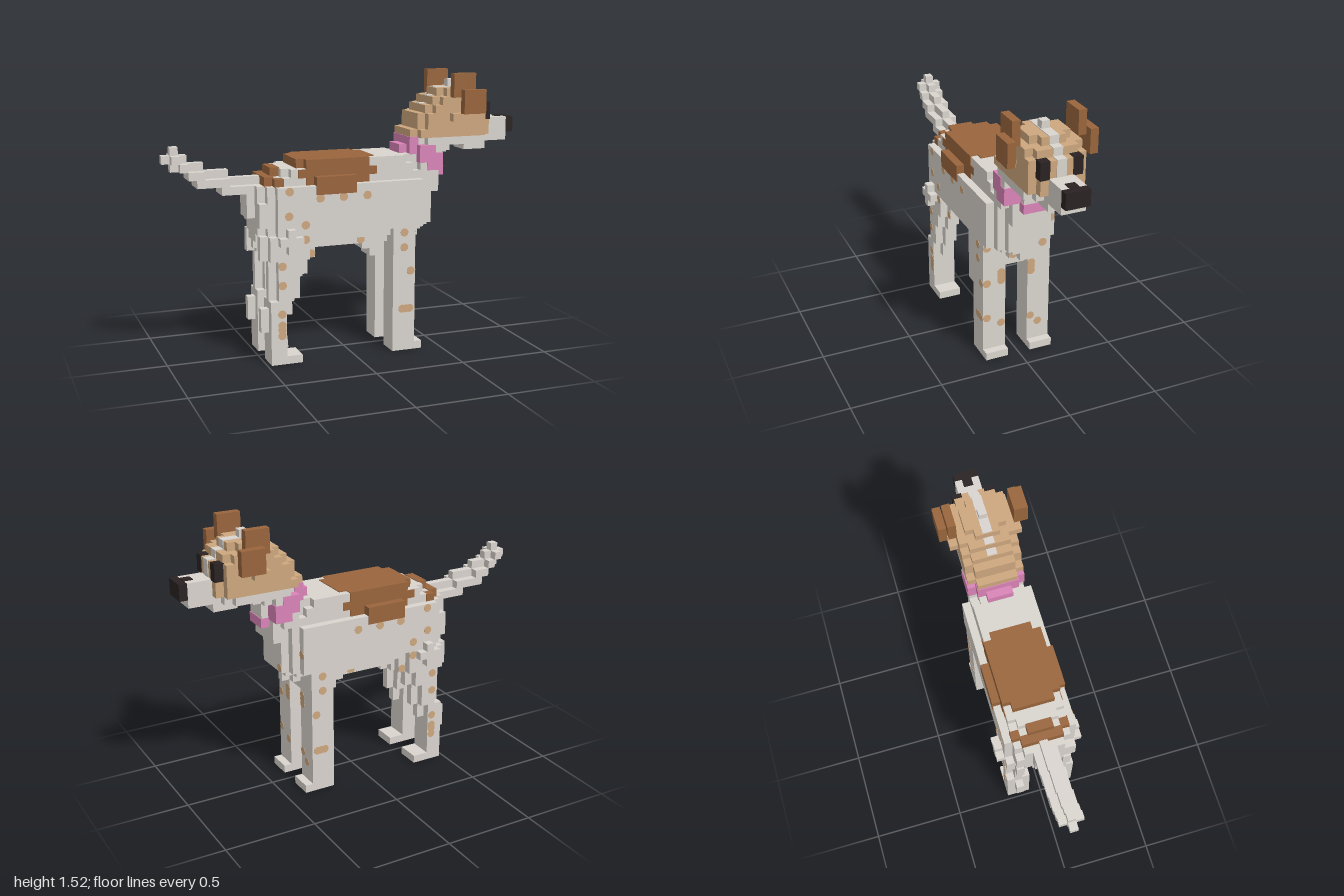
import * as THREE from 'three';
import { mergeGeometries } from 'three/addons/utils/BufferGeometryUtils.js';

const U = 2 / 46; // one block

function paint(name, color) {
  const m = new THREE.MeshStandardMaterial({ color });
  m.name = name;
  return m;
}

// Block-aligned box: x and z in block units (x from the tail tip, z from the middle)
function block(x0, x1, y0, y1, z0, z1, grow = 0) {
  const g = new THREE.BoxGeometry((x1 - x0) * U + 2 * grow, (y1 - y0) * U + 2 * grow, (z1 - z0) * U + 2 * grow);
  return g.translate(((x0 + x1) / 2 - 23) * U, ((y0 + y1) / 2) * U, ((z0 + z1) / 2) * U);
}

// Symmetric slab of half width h
const slab = (x0, x1, y0, y1, h, grow) => block(x0, x1, y0, y1, -h, h, grow);

// Layer whose two ends step inwards
const layer = ([x0, x1, y0, y1, h]) => [
  slab(x0, x1, y0, y1, h - 2),
  slab(x0 + 1, x1 - 1, y0, y1, h - 1),
  slab(x0 + 2, x1 - 2, y0, y1, h),
];

// The same box on both sides
const pair = (x0, x1, y0, y1, z0, z1, grow) =>
  [block(x0, x1, y0, y1, z0, z1, grow), block(x0, x1, y0, y1, -z1, -z0, grow)];

export function createModel() {
  const model = new THREE.Group();
  const coat = paint('paleGreyCoat', 0xd9d4ce);
  const tan = paint('tan', 0xcda77e);
  const brown = paint('brown', 0x99653c);
  const pink = paint('pinkCollar', 0xda84b8);
  const black = paint('black', 0x2a2222);

  const add = (name, material, parts) => {
    const mesh = new THREE.Mesh(mergeGeometries(parts), material);
    mesh.name = name;
    model.add(mesh);
  };

  // Torso, stacked in layers
  add('body', coat, [
    ...[
      [11, 33, 14, 15, 2.5], [11, 33, 15, 16, 3.5], [11, 34, 16, 18, 4.5],
      [11, 34, 18, 22, 4.5], [12, 34, 22, 23, 3.5], [13, 33, 23, 24, 3.5], [16, 32, 24, 25, 3.5],
    ].flatMap(layer),
    slab(10, 11, 18, 21, 1.5),
    slab(11, 13, 17, 20, 3.5),
    slab(33, 35, 20, 22, 2.5),
    slab(25, 31, 13, 14, 1.5),
    slab(26, 30, 12, 13, 1.5),
  ]);

  // Hip bumps
  add('hips', coat, [...pair(13, 16, 15, 16, 4.5, 5.5), ...pair(14, 15, 14, 17, 4.5, 5.5)]);

  add('frontLegs', coat, [...pair(28, 31, 0, 16, 1.5, 4.5), ...pair(31, 32, 0, 1, 1.5, 4.5)]);

  // Hind legs: full depth in the middle, trimmed at the back on both sides
  const hind = [
    [12, 16, 0, 1], [12, 14, 1, 4], [11, 14, 4, 6], [11, 15, 6, 7], [12, 15, 7, 8],
    [12, 16, 8, 11], [12, 17, 11, 13], [11, 18, 13, 16],
  ];
  add('hindLegs', coat, hind.flatMap(([x0, x1, y0, y1]) => {
    const trim = y0 === 0 ? 0 : 1;
    return [
      ...pair(x0, x1, y0, y1, 2.5, 3.5),
      ...pair(x0 + (x0 === 11 || y0 > 7 ? trim : 0), x1 - (y0 > 5 ? trim : 0), y0, y1, 1.5, 4.5),
    ];
  }));

  // Tail: column heights from tip to root
  const tail = [[25, 26], [24, 27], [24, 26], [23, 25], [22, 25], [22, 24], [22, 24], [21, 24],
    [21, 23], [21, 23], [21, 23], [21, 23]];
  add('tail', coat, tail.flatMap(([lo, hi], i) => {
    const column = [slab(i, i + 1, lo, hi, 0.5)];
    if (i > 0) column.push(slab(i, i + 1, i === 1 ? 25 : lo, i === 1 ? 26 : hi - 1, 1.5));
    return column;
  }));

  add('neck', coat, [[30, 36, 22, 25, 3.5], [31, 37, 25, 26, 3.5], [31, 42, 26, 27, 3.5]].flatMap(layer));

  add('collar', pink, [
    [30, 31, 25, 26, 1.5], [31, 32, 25, 27, 2.5], [32, 34, 24, 26, 3.5],
    [33, 35, 23, 25, 3.5], [34, 36, 22, 23, 1.5],
  ].map((s) => slab(...s, 0.004)));

  // Head, stepping up to the crown
  const skull = [
    [31, 42, 27, 28, 3.5], [32, 42, 28, 30, 3.5], [33, 42, 30, 31, 3.5],
    [34, 41, 31, 32, 3.5], [35, 40, 32, 33, 2.5],
  ];
  add('head', tan, [
    ...skull.flatMap(([x0, x1, y0, y1, h]) => [slab(x0, x1, y0, y1, h - 1), slab(x0 + 1, x1 - 1, y0, y1, h)]),
    ...pair(36, 38, 29, 30, 3.5, 4.5),
  ]);
  // Stripe on the treads and the forehead; its back edge stays inside the head
  add('headStripe', coat, [
    ...skull.slice(1).map(([x0, x1, y0, y1]) => slab(Math.max(x0, 33) + 0.2, x1, Math.max(y0, 29), y1, 0.5, 0.004)),
    slab(37, 38, 33, 34, 0.5),
  ]);
  add('muzzle', coat, [slab(41.5, 45, 26, 29, 1.5), slab(39, 42, 25, 26, 1.5)]);
  add('nose', black, [slab(45, 46, 27, 29, 1.5), slab(44, 45, 28, 29, 0.5, 0.004)]);
  add('eyes', black, pair(41, 42, 29, 31, 1.5, 2.5, 0.004));
  add('ears', brown, [...pair(36, 39, 32, 35, 3.5, 4.5), ...pair(37, 40, 30, 33, 4.5, 5.5)]);

  // Brown patches on the back and rump; slabs just below a step colour only its side
  add('saddlePatch', brown, [
    [16, 26, 24, 25, 2.5], [17, 25, 24, 25, 3.5], [16, 26, 23, 23.85, 3.5],
    [17, 25, 22, 22.85, 3.5], [18, 23, 21, 23, 4.5],
  ].map((s) => slab(...s, 0.004)));
  add('rumpPatch', brown, [
    [12, 13, 22, 23, 2.5], [13, 14, 22, 22.85, 3.5], [13, 14, 23, 24, 1.5],
  ].map((s) => slab(...s, 0.004)));

  // Tan freckles: thin discs on the flanks, then on the chest and front of the legs
  const disc = () => new THREE.CylinderGeometry(0.023, 0.023, 0.004, 12);
  const flank = [
    [14.5, 21.5], [14.4, 18.5], [16.5, 17.3], [16.5, 15.5], [18.4, 20.5], [21.4, 20.5], [24.5, 20.5],
    [29.5, 15.4], [29.5, 13.5], [30.4, 10.4], [29.3, 5.5], [29.8, 5.5], [30.3, 5.5],
    [13.5, 12.4], [13.5, 10], [13.4, 6.4], [13.4, 5], [13.4, 4.4], [13.4, 3.7],
    [17.5, 13.5, 3.5], [24.4, 14.5, 2.5],
  ];
  const freckles = flank.flatMap(([x, y, z = 4.5]) => [1, -1].map((s) =>
    disc().rotateX(Math.PI / 2).translate((x - 23) * U, y * U, s * z * U)));
  const front = [[0.173, 0.24], [0.173, 0.455], [0.09, 0.46], [0.09, 0.485], [0.09, 0.51], [0.09, 0.195],
    [-0.085, 0.48], [-0.085, 0.505], [-0.085, 0.53], [-0.085, 0.195], [-0.13, 0.15], [0.173, 0.67],
    [0.043, 0.63, 9], [-0.085, 0.72, 11], [-0.173, 0.805, 9]];
  front.forEach(([z, y, x = 8]) => freckles.push(disc().rotateZ(Math.PI / 2).translate(x * U, y, z)));
  add('freckles', tan, freckles);

  return model;
}
